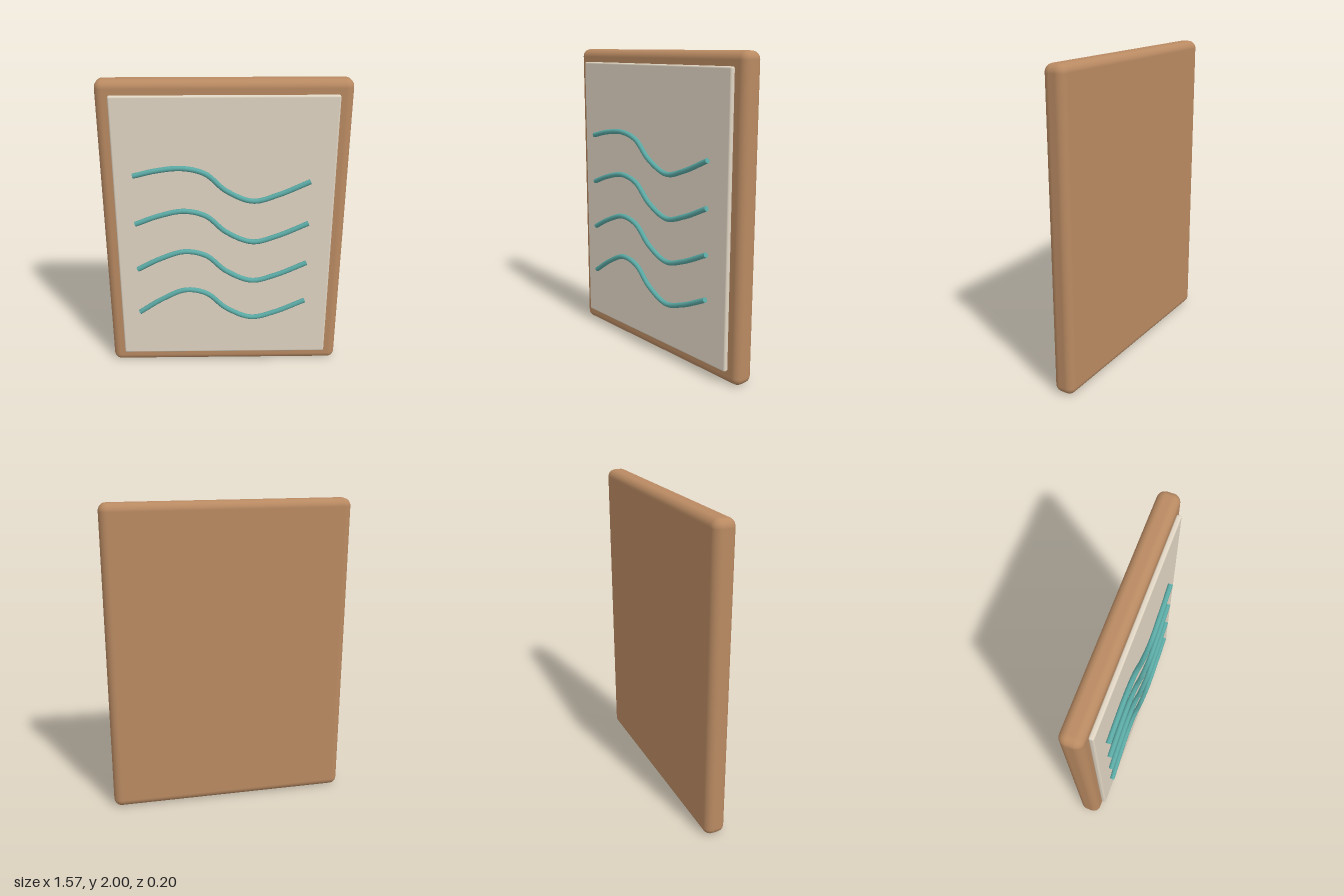
import * as THREE from 'three';
import { RoundedBoxGeometry } from 'three/addons/geometries/RoundedBoxGeometry.js';

const paint = (color) => new THREE.MeshStandardMaterial({ color });

// Rounded slab centred on x, spanning y0..y1 and z0..z1
function slab(name, width, y0, y1, z0, z1, radius, material) {
  const mesh = new THREE.Mesh(new RoundedBoxGeometry(width, y1 - y0, z1 - z0, 5, radius), material);
  mesh.position.set(0, (y0 + y1) / 2, (z0 + z1) / 2);
  mesh.name = name;
  return mesh;
}

// Wave profile: x, height of the top wave, height of the bottom wave
const WAVE = [
  [-0.573, 1.417, 0.433],
  [-0.42, 1.452, 0.533],
  [-0.26, 1.465, 0.602],
  [-0.12, 1.428, 0.574],
  [0.01, 1.315, 0.46],
  [0.18, 1.244, 0.386],
  [0.34, 1.286, 0.425],
  [0.54, 1.374, 0.515],
];
const WAVE_RADIUS = 0.0165;
const WAVE_Z = 0.083;

// Raised tube with flat closed ends
function wave(t, material) {
  const group = new THREE.Group();
  const points = WAVE.map(([x, top, bottom]) =>
    new THREE.Vector3(x, THREE.MathUtils.lerp(top, bottom, t), WAVE_Z));
  const curve = new THREE.CatmullRomCurve3(points);
  group.add(new THREE.Mesh(new THREE.TubeGeometry(curve, 64, WAVE_RADIUS, 16), material));
  for (const end of [0, 1]) {
    const cap = new THREE.Mesh(new THREE.CircleGeometry(WAVE_RADIUS, 16), material);
    const outward = curve.getTangentAt(end).multiplyScalar(end ? 1 : -1);
    cap.position.copy(curve.getPointAt(end));
    cap.quaternion.setFromUnitVectors(new THREE.Vector3(0, 0, 1), outward);
    cap.name = 'waveEnd';
    group.add(cap);
  }
  return group;
}

export function createModel() {
  const model = new THREE.Group();
  model.name = 'wavePanel';

  // Wooden backing and pale face panel
  model.add(slab('backing', 1.566, 0, 2, -0.102, 0.037, 0.05, paint(0xb98a62)));
  model.add(slab('facePanel', 1.398, 0.088, 1.914, 0.034, 0.066, 0.012, paint(0xe0d5c3)));

  // Four stacked waves
  const teal = paint(0x5aa8a3);
  for (let i = 0; i < 4; i++) {
    const line = wave(i / 3, teal);
    line.name = `wave${i + 1}`;
    model.add(line);
  }
  return model;
}
